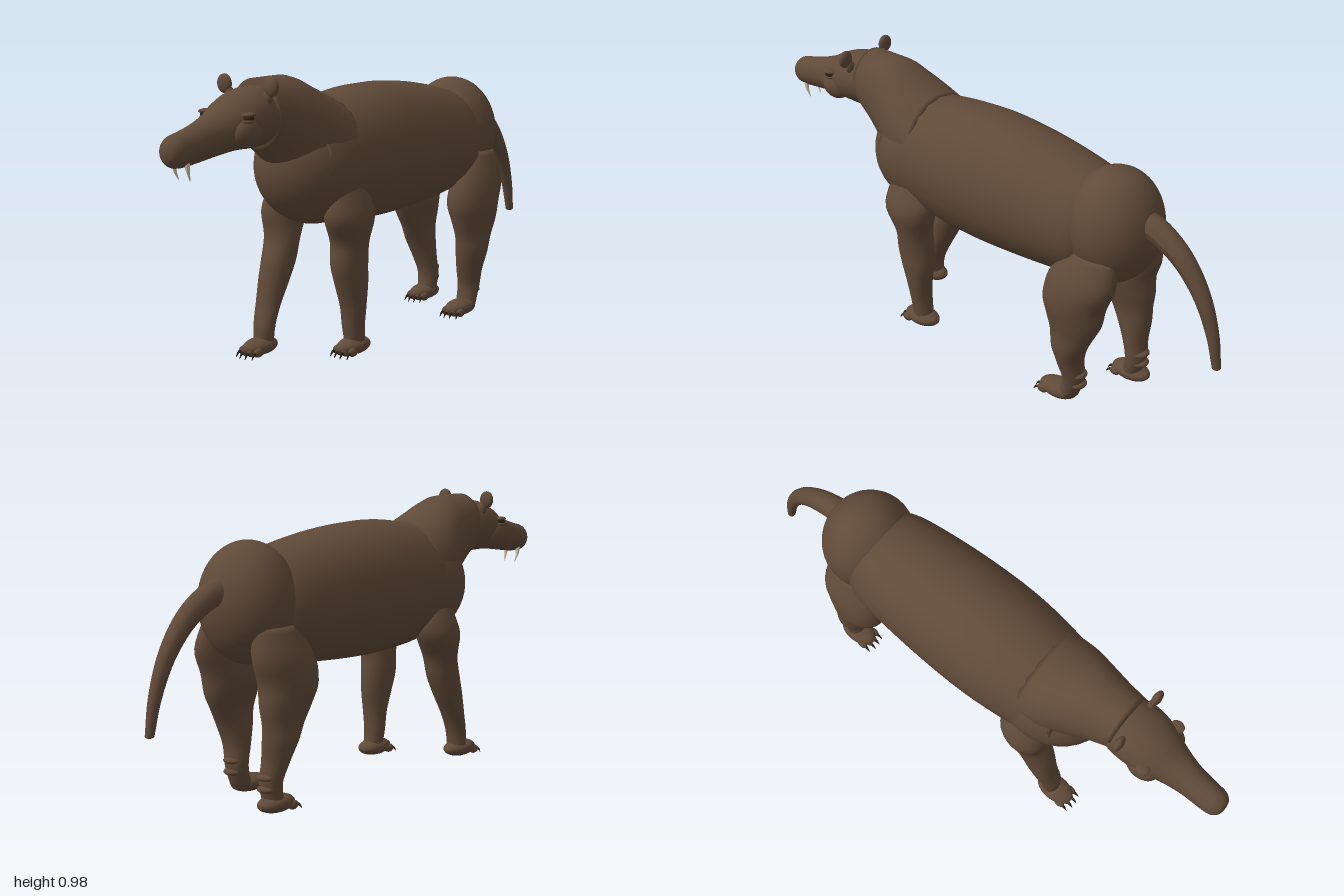
import * as THREE from 'three';

const mat = (name, color) => {
  const m = new THREE.MeshStandardMaterial({ color });
  m.name = name;
  return m;
};

// Smooth closed skin through elliptical sections [h, x, c, rx, rc].
// axis 'y': rings lie flat, h rising; axis 'z': rings face forward, h falling.
function loft(sections, axis, sides = 24, steps = 4) {
  const spline = (k) => new THREE.SplineCurve(sections.map((s, i) => new THREE.Vector2(i, s[k])));
  const curves = [0, 1, 2, 3, 4].map(spline);
  const rings = (sections.length - 1) * steps;
  const pos = [], index = [];
  const put = (h, x, c) => (axis === 'y' ? pos.push(x, h, c) : pos.push(x, c, h));
  const at = (i) => curves.map((c) => c.getPoint(i / rings).y);
  for (let i = 0; i <= rings; i++) {
    const [h, x, c, rx, rc] = at(i);
    for (let j = 0; j < sides; j++) {
      const t = (j / sides) * Math.PI * 2;
      put(h, x + rx * Math.cos(t), c + rc * Math.sin(t));
    }
  }
  const start = (rings + 1) * sides;
  for (const i of [0, rings]) put(...at(i).slice(0, 3));
  for (let j = 0; j < sides; j++) {
    const n = (j + 1) % sides;
    for (let i = 0; i < rings; i++) {
      const a = i * sides + j, b = i * sides + n;
      index.push(a, a + sides, b, b, a + sides, b + sides);
    }
    index.push(start, j, n, start + 1, rings * sides + n, rings * sides + j);
  }
  const g = new THREE.BufferGeometry();
  g.setAttribute('position', new THREE.Float32BufferAttribute(pos, 3));
  g.setIndex(index);
  g.computeVertexNormals();
  return g;
}

// Tube along a path that narrows from r0 to r1
function taperedTube(points, r0, r1, seg = 24, sides = 14) {
  const path = new THREE.CatmullRomCurve3(points.map((p) => new THREE.Vector3(...p)));
  const g = new THREE.TubeGeometry(path, seg, 1, sides);
  const p = g.attributes.position, v = new THREE.Vector3();
  for (let i = 0; i < p.count; i++) {
    const u = Math.floor(i / (sides + 1)) / seg;
    const c = path.getPointAt(u);
    v.fromBufferAttribute(p, i).sub(c).multiplyScalar(r0 + (r1 - r0) * u).add(c);
    p.setXYZ(i, v.x, v.y, v.z);
  }
  g.computeVertexNormals();
  return g;
}

export function createModel() {
  const model = new THREE.Group();
  const hide = mat('brown hide', 0x604a38);
  const ivory = mat('ivory', 0xd8cda8);
  const dark = mat('dark claw', 0x2a211a);

  const add = (name, geo, material = hide, parent = model) => {
    const m = new THREE.Mesh(geo, material);
    m.name = name;
    parent.add(m);
    return m;
  };
  const ball = (name, p, r, material = hide, parent = model, detail = 28) => {
    const m = add(name, new THREE.SphereGeometry(1, detail, Math.round(detail * 0.7)), material, parent);
    m.position.set(...p);
    m.scale.set(...r);
    return m;
  };

  // Trunk
  add('barrel', loft([
    [0.4, 0, 0.67, 0.165, 0.18], [0.25, 0, 0.67, 0.19, 0.218], [0.1, 0, 0.674, 0.207, 0.236],
    [-0.05, 0, 0.674, 0.211, 0.24], [-0.25, 0, 0.67, 0.203, 0.226],
    [-0.45, 0, 0.662, 0.182, 0.198], [-0.52, 0, 0.662, 0.15, 0.17],
  ], 'z', 20));
  ball('chest', [0, 0.66, 0.29], [0.19, 0.205, 0.222], hide, model, 36);
  ball('rump', [0, 0.685, -0.55], [0.172, 0.205, 0.162], hide, model, 36);

  // Neck and head
  add('neck', loft([
    [0.59, 0, 0.862, 0.098, 0.112], [0.51, 0, 0.832, 0.115, 0.143], [0.43, 0, 0.795, 0.138, 0.175],
    [0.34, 0, 0.75, 0.165, 0.18], [0.24, 0, 0.71, 0.175, 0.178],
  ], 'z'));
  add('head', loft([
    [1.0, 0, 0.778, 0.008, 0.008], [0.993, 0, 0.778, 0.03, 0.032], [0.97, 0, 0.778, 0.046, 0.05],
    [0.93, 0, 0.782, 0.05, 0.056], [0.86, 0, 0.796, 0.055, 0.062], [0.79, 0, 0.815, 0.07, 0.071],
    [0.72, 0, 0.838, 0.094, 0.086], [0.65, 0, 0.85, 0.106, 0.097], [0.58, 0, 0.852, 0.1, 0.098],
    [0.53, 0, 0.85, 0.08, 0.08],
  ], 'z'));

  // Ears, eyes and fangs in mirrored pairs
  for (const s of [1, -1]) {
    const side = s > 0 ? 'left' : 'right';
    ball(side + 'Ear', [s * 0.099, 0.953, 0.622], [0.029, 0.032, 0.015]);
    ball(side + 'EarBase', [s * 0.082, 0.92, 0.618], [0.018, 0.025, 0.014]);
    ball(side + 'Cheek', [s * 0.07, 0.815, 0.71], [0.04, 0.05, 0.06]);
    ball(side + 'Eye', [s * 0.092, 0.863, 0.722], [0.016, 0.014, 0.018], dark, model, 16);
    ball(side + 'UpperLid', [s * 0.092, 0.874, 0.722], [0.02, 0.008, 0.025], hide, model, 16);
    ball(side + 'LowerLid', [s * 0.091, 0.853, 0.722], [0.019, 0.008, 0.023], hide, model, 16);
    add(side + 'Fang', taperedTube([
      [s * 0.026, 0.75, 0.935], [s * 0.028, 0.715, 0.93], [s * 0.024, 0.684, 0.918],
    ], 0.011, 0.001, 10, 10), ivory);
  }

  // Tail
  add('tail', taperedTube([
    [0, 0.74, -0.64], [0, 0.725, -0.72], [0, 0.665, -0.82], [0, 0.56, -0.905],
    [0, 0.43, -0.96], [0, 0.315, -0.985],
  ], 0.048, 0.015));
  ball('tailTip', [0, 0.315, -0.985], [0.015, 0.008, 0.015]);

  // Legs: each row is height, x, rx, rz; z comes from the stride lists
  const foreRows = [
    [0.03, 0.126, 0.036, 0.036], [0.1, 0.126, 0.041, 0.038], [0.17, 0.129, 0.047, 0.044],
    [0.25, 0.128, 0.055, 0.062], [0.32, 0.126, 0.06, 0.072], [0.4, 0.13, 0.066, 0.07],
    [0.48, 0.138, 0.074, 0.102], [0.54, 0.132, 0.066, 0.1], [0.62, 0.115, 0.045, 0.07],
  ];
  const hindRows = [
    [0.03, 0.122, 0.038, 0.036], [0.1, 0.122, 0.042, 0.039], [0.17, 0.131, 0.05, 0.046],
    [0.24, 0.14, 0.058, 0.066], [0.3, 0.14, 0.059, 0.085], [0.36, 0.138, 0.071, 0.108],
    [0.43, 0.135, 0.085, 0.122], [0.52, 0.132, 0.078, 0.128], [0.62, 0.105, 0.06, 0.09],
  ];
  const legs = [
    ['leftForeleg', 1, foreRows, 1, 0.242, [0.225, 0.235, 0.24, 0.248, 0.257, 0.26, 0.27, 0.27, 0.28]],
    ['rightForeleg', -1, foreRows, 0.88, 0.442, [0.415, 0.41, 0.385, 0.355, 0.33, 0.305, 0.283, 0.275, 0.28]],
    ['leftHindLeg', 1, hindRows, 1, -0.425, [-0.475, -0.495, -0.485, -0.485, -0.495, -0.5, -0.498, -0.525, -0.55]],
    ['rightHindLeg', -1, hindRows, 0.95, -0.55, [-0.565, -0.578, -0.565, -0.55, -0.535, -0.52, -0.505, -0.525, -0.55]],
  ];
  for (const [name, s, rows, depth, footZ, stride] of legs) {
    const leg = new THREE.Group();
    leg.name = name;
    model.add(leg);
    const sections = rows.map(([y, x, rx, rz], i) => [y, s * x, stride[i], rx, rz * depth]);
    add(name + 'Limb', loft(sections, 'y'), hide, leg);
    ball(name + 'Paw', [s * 0.126, 0.031, footZ - 0.008], [0.047, 0.03, 0.076], hide, leg);
    // Heel wrinkles on the hind legs
    if (rows === hindRows) {
      for (const y of [0.085, 0.125]) {
        ball(name + 'HeelFold', [s * 0.122, y, stride[1] - 0.02], [0.034, 0.014, 0.03], hide, leg, 16);
      }
    }
    // Four toes, each with a claw
    for (let i = 0; i < 4; i++) {
      const k = i - 1.5;
      const x = s * 0.126 + k * 0.022, z = footZ + 0.06 - Math.abs(k) * 0.009;
      ball(name + 'Toe', [x, 0.021, z - 0.008], [0.013, 0.016, 0.022], hide, leg, 14);
      add(name + 'Claw', taperedTube([
        [x, 0.02, z + 0.004], [x + k * 0.001, 0.018, z + 0.018], [x + k * 0.002, 0.003, z + 0.03],
      ], 0.007, 0.001, 6, 8), dark, leg);
    }
  }
  return model;
}
